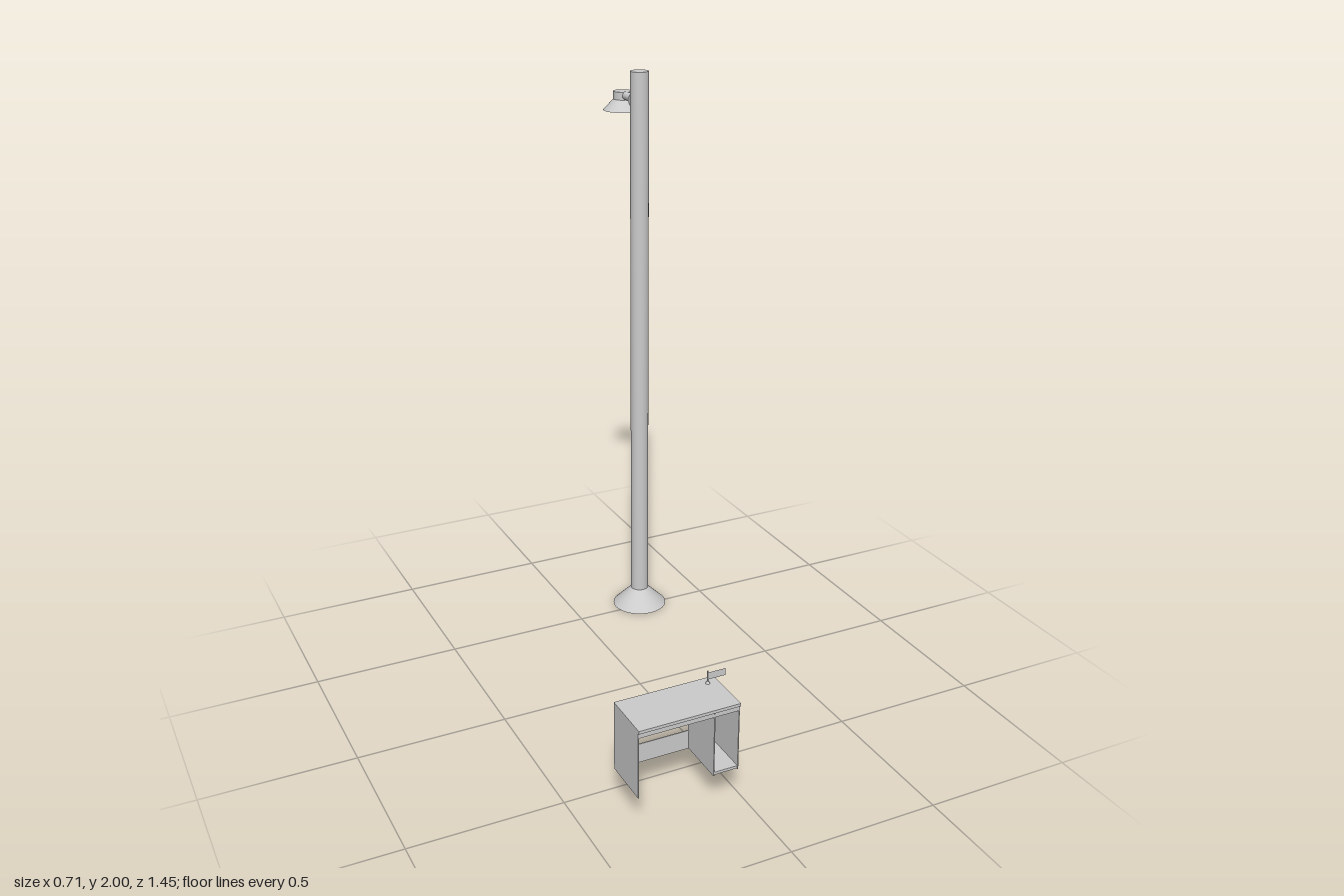
import * as THREE from 'three';

export function createModel() {
  const model = new THREE.Group();
  const material = new THREE.MeshStandardMaterial({ color: 0xcccccc });
  const thin = new THREE.MeshStandardMaterial({ color: 0xcccccc, side: THREE.DoubleSide });

  function add(parent, name, geometry, x, y, z, mat = material) {
    const mesh = new THREE.Mesh(geometry, mat);
    mesh.name = name;
    mesh.position.set(x, y, z);
    parent.add(mesh);
    return mesh;
  }
  // Box given by its min and max corners
  function box(parent, name, [x0, y0, z0], [x1, y1, z1]) {
    return add(parent, name, new THREE.BoxGeometry(x1 - x0, y1 - y0, z1 - z0),
      (x0 + x1) / 2, (y0 + y1) / 2, (z0 + z1) / 2);
  }
  // Round part standing between two heights
  function round(parent, name, rTop, rBottom, y0, y1, x, z) {
    return add(parent, name, new THREE.CylinderGeometry(rTop, rBottom, y1 - y0, 32), x, (y0 + y1) / 2, z);
  }

  // Lamp post
  const lamp = new THREE.Group();
  lamp.name = 'lampPost';
  model.add(lamp);
  const px = 0.254, pz = -0.528, headZ = -0.662;
  round(lamp, 'postBase', 0.032, 0.099, 0, 0.066, px, pz);
  round(lamp, 'post', 0.032, 0.032, 0.066, 2, px, pz);

  // Arm reaching back from the post, with its collar
  const arm = add(lamp, 'arm', new THREE.CylinderGeometry(0.014, 0.014, 0.09, 24), px, 1.902, -0.595);
  arm.rotation.x = -Math.PI / 2;
  const collar = add(lamp, 'armCollar', new THREE.CylinderGeometry(0.015, 0.03, 0.012, 24), px, 1.902, -0.56);
  collar.rotation.x = -Math.PI / 2;

  // Lamp head
  round(lamp, 'lampCap', 0.032, 0.032, 1.888, 1.915, px, headZ);
  round(lamp, 'lampShade', 0.032, 0.067, 1.851, 1.888, px, headZ);

  // Desk
  const desk = new THREE.Group();
  desk.name = 'desk';
  model.add(desk);
  const L = -0.357, R = -0.022, C = -0.107, back = 0.556, front = 0.721, low = 0.115, t = 0.003;
  box(desk, 'deskTop', [L, 0.338, back], [R, 0.348, 0.726]);
  box(desk, 'drawer', [L + t, 0.32, back + 0.002], [R - t, 0.338, front - 0.001]);
  for (const [name, x] of [['outerSide', L], ['cabinetInnerSide', C], ['cabinetOuterSide', R - t]])
    box(desk, name, [x, low, back], [x + t, 0.338, front]);
  box(desk, 'backPanel', [L + t, low, back + 0.002], [C, 0.18, back + 0.005]);
  box(desk, 'cabinetBack', [C + t, 0.118, back + 0.005], [R - t, 0.32, back + 0.008]);
  box(desk, 'cabinetFloor', [C + t, 0.118, back + 0.005], [R - t, 0.127, front - 0.001]);

  // Small flag on the desk
  const flag = new THREE.Group();
  flag.name = 'deskFlag';
  desk.add(flag);
  const fx = -0.058, fz = 0.586;
  round(flag, 'flagFoot', 0.003, 0.007, 0.348, 0.356, fx, fz);
  round(flag, 'flagPole', 0.002, 0.002, 0.356, 0.392, fx, fz);
  add(flag, 'flagCloth', new THREE.PlaneGeometry(0.061, 0.024), fx + 0.0305, 0.373, fz, thin);

  return model;
}
